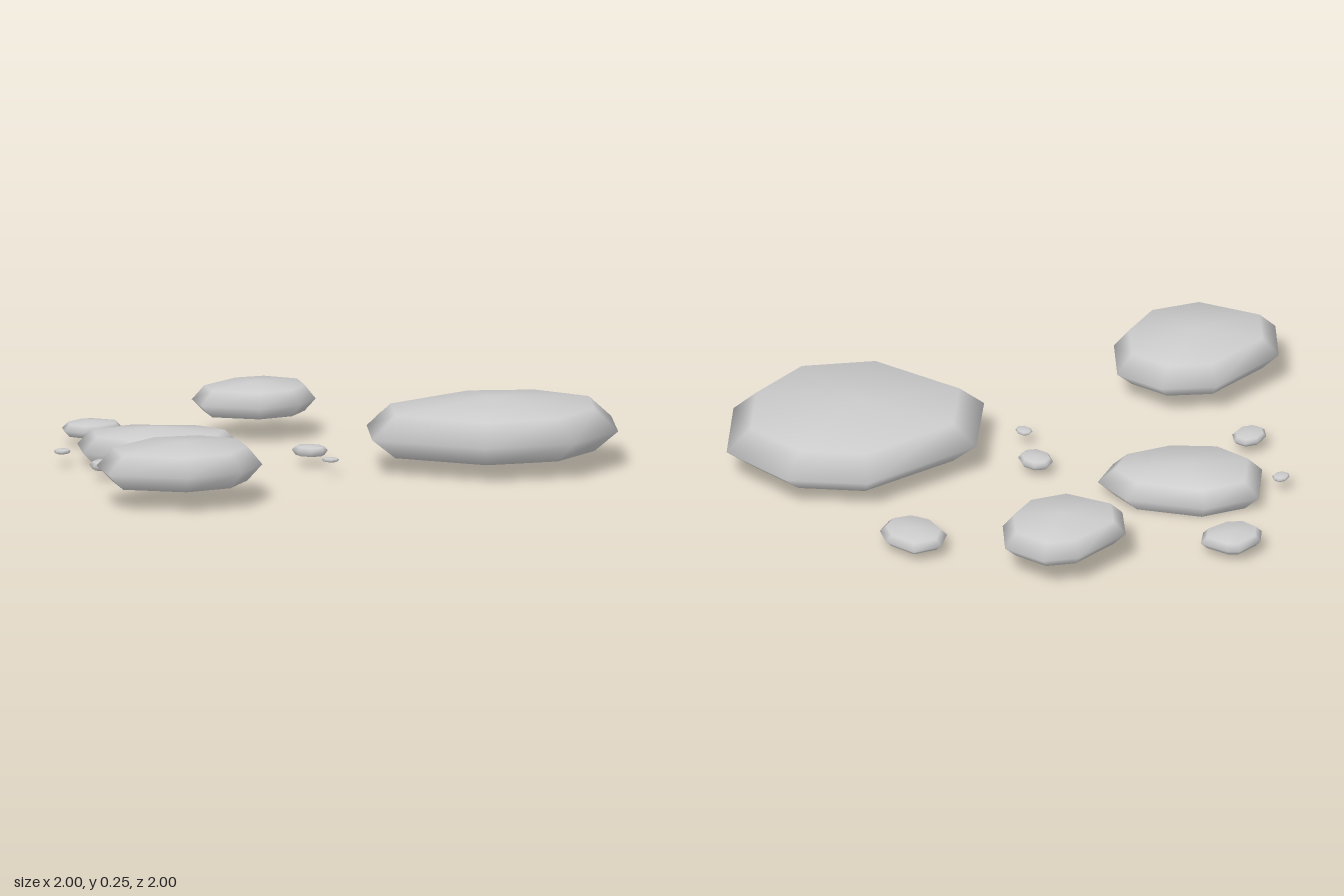
import * as THREE from 'three';

const material = new THREE.MeshStandardMaterial({ color: 0xcccccc, side: THREE.DoubleSide });

// Floating stone shell, open below: base ring, wide waist ring, top rim and a shallow peak.
// outline: waist corners [x, z], clockwise from above; heights: base, waist, rim, peak
function stone(name, outline, [base, waist, rim, peak]) {
  const n = outline.length;
  const xs = outline.map(p => p[0]), zs = outline.map(p => p[1]);
  const cx = (Math.min(...xs) + Math.max(...xs)) / 2;
  const cz = (Math.min(...zs) + Math.max(...zs)) / 2;
  const pos = [], index = [];
  for (const [y, s] of [[base, 0.81], [waist, 1], [rim, 0.81]]) {
    for (const [x, z] of outline) pos.push(cx + (x - cx) * s, y, cz + (z - cz) * s);
  }
  pos.push(cx, peak, cz);
  for (let i = 0; i < n; i++) {
    const j = (i + 1) % n;
    for (let r = 0; r < 2; r++) {
      const a = r * n, b = a + n;
      index.push(a + j, a + i, b + i, a + j, b + i, b + j);
    }
    index.push(3 * n, 2 * n + j, 2 * n + i);
  }
  const geometry = new THREE.BufferGeometry();
  geometry.setAttribute('position', new THREE.Float32BufferAttribute(pos, 3));
  geometry.setIndex(index);
  geometry.computeVertexNormals();
  const mesh = new THREE.Mesh(geometry, material);
  mesh.name = name;
  return mesh;
}

// Rounded eight-sided outline for pebbles
function oval(cx, cz, rx, rz) {
  return Array.from({ length: 8 }, (_, i) => {
    const a = (i + 0.3) * Math.PI / 4;
    return [cx + Math.cos(a) * rx, cz + Math.sin(a) * rz];
  });
}

export function createModel() {
  const group = new THREE.Group();
  group.name = 'steppingStones';
  group.add(
    // Large stones
    stone('largestStone', [[0.52, -1], [0.815, -0.99], [1, -0.735], [0.995, -0.425],
      [0.77, -0.175], [0.325, -0.11], [0.145, -0.365], [0.275, -0.825]], [0.06, 0.135, 0.218, 0.255]),
    stone('frontStone', [[-0.105, 0.385], [0.085, 0.36], [0.23, 0.51], [0.265, 0.715],
      [0.15, 0.905], [-0.13, 1], [-0.275, 0.85], [-0.25, 0.53]], [0.075, 0.135, 0.202, 0.225]),
    stone('backStone', [[-0.57, -0.825], [-0.405, -0.845], [-0.295, -0.73], [-0.27, -0.58],
      [-0.355, -0.435], [-0.565, -0.37], [-0.675, -0.48], [-0.655, -0.72]], [0.09, 0.135, 0.187, 0.205]),
    stone('sideStone', [[-0.43, -0.195], [-0.27, -0.165], [-0.23, -0.03], [-0.33, 0.155],
      [-0.495, 0.285], [-0.67, 0.295], [-0.795, 0.13], [-0.695, -0.055]], [0, 0.055, 0.112, 0.132]),
    // Small stones
    stone('smallSideStone', [[-0.955, -0.235], [-0.845, -0.255], [-0.8, -0.19], [-0.825, -0.09],
      [-0.875, -0.04], [-0.955, -0.04], [-1, -0.1], [-0.99, -0.205]], [0.035, 0.058, 0.08, 0.088]),
    stone('smallBackStone', [[-0.085, -0.985], [0.04, -0.995], [0.11, -0.95], [0.13, -0.875],
      [0.085, -0.805], [0, -0.78], [-0.095, -0.81], [-0.135, -0.89]], [0.035, 0.057, 0.081, 0.09])
  );
  // Pebbles: centre x, centre z, radius x, radius z, half height
  [
    [0.007, -0.192, 0.069, 0.058, 0.018],
    [0.172, -0.065, 0.034, 0.028, 0.007],
    [-0.756, 0.3, 0.03, 0.035, 0.008],
    [-0.478, 0.446, 0.059, 0.071, 0.016],
  ].forEach(([x, z, rx, rz, h], i) => {
    const y = 0.057;
    group.add(stone('pebble' + (i + 1), oval(x, z, rx, rz), [y - h, y, y + h * 0.75, y + h]));
  });
  return group;
}
